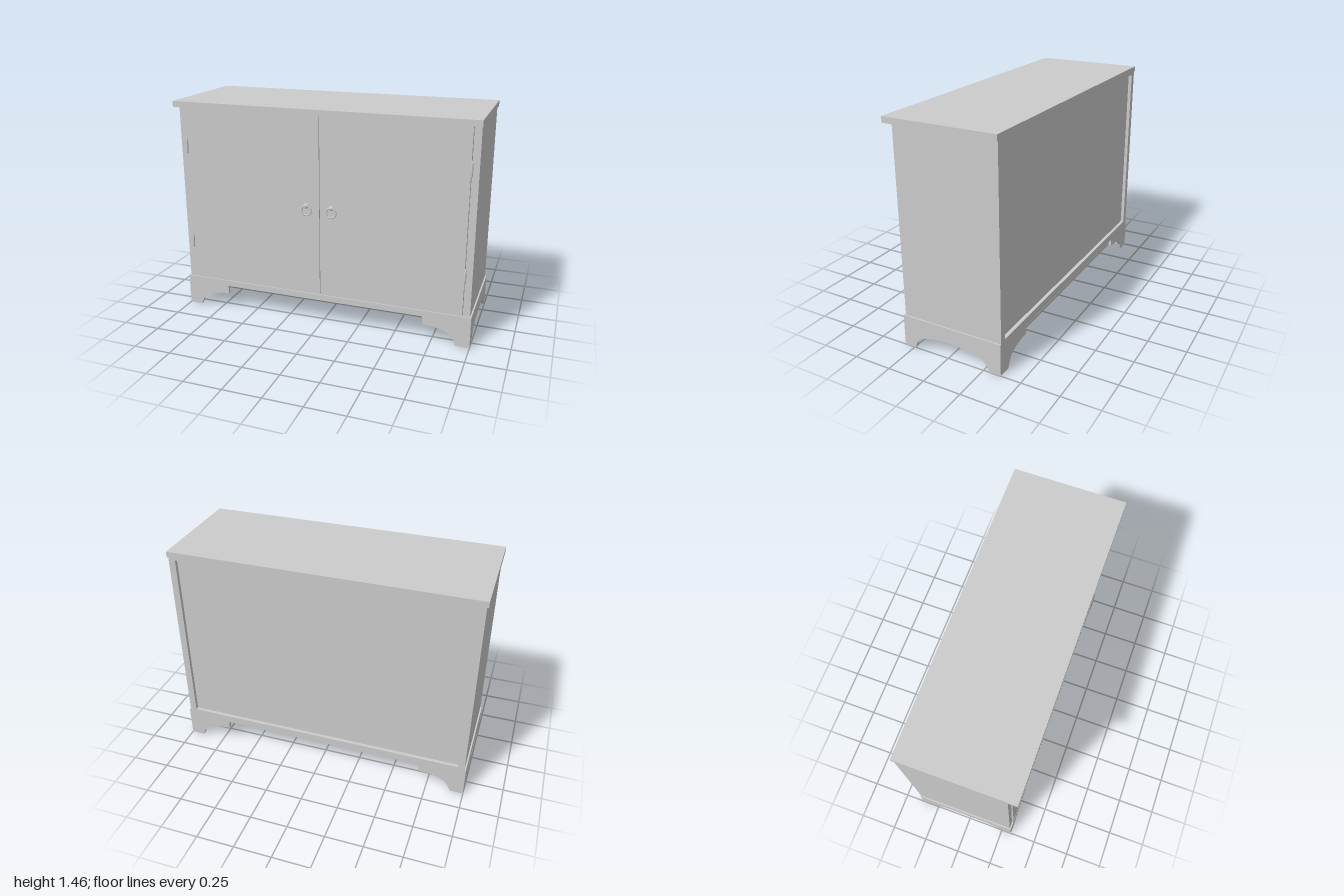
import * as THREE from 'three';

const material = new THREE.MeshStandardMaterial({ color: 0xcccccc });

export function createModel() {
  const model = new THREE.Group();

  function add(name, geometry, x = 0, y = 0, z = 0) {
    const mesh = new THREE.Mesh(geometry, material);
    mesh.name = name;
    mesh.position.set(x, y, z);
    model.add(mesh);
    return mesh;
  }

  // Box given by its limits on each axis
  function box(name, x0, x1, y0, y1, z0, z1) {
    return add(name, new THREE.BoxGeometry(x1 - x0, y1 - y0, z1 - z0),
      (x0 + x1) / 2, (y0 + y1) / 2, (z0 + z1) / 2);
  }

  function plate(points, depth) {
    const shape = new THREE.Shape(points.map(([x, y]) => new THREE.Vector2(x, y)));
    return new THREE.ExtrudeGeometry(shape, { depth, bevelEnabled: false });
  }

  // Carcass
  box('topBoard', -1, 1, 1.422, 1.46, -0.37, 0.372);
  box('baseBoard', -1, 1, 0.17, 0.21, -0.368, 0.32);
  box('leftSide', 0.945, 0.99, 0.21, 1.422, -0.368, 0.31);
  box('rightSide', -0.99, -0.945, 0.21, 1.422, -0.368, 0.31);
  box('backPanel', -0.945, 0.945, 0.21, 1.422, -0.345, -0.33);
  box('backTopRail', -0.945, 0.945, 1.407, 1.422, -0.368, -0.345);
  box('backBottomRail', -0.945, 0.945, 0.21, 0.222, -0.368, -0.345);

  // Doors meeting just off centre
  box('leftDoor', -0.002, 0.942, 0.213, 1.418, 0.285, 0.318);
  box('rightDoor', -0.942, -0.006, 0.213, 1.418, 0.285, 0.318);

  // Curved corner brackets on front and back
  const bracket = [[1, 0], [1, 0.17], [0.69, 0.17], [0.69, 0.115], [0.76, 0.11],
    [0.82, 0.098], [0.865, 0.075], [0.893, 0.045], [0.91, 0]];
  for (const s of [1, -1]) {
    const points = bracket.map(([x, y]) => [x * s, y]);
    add('frontBracket', plate(points, 0.02), 0, 0, 0.3);
    add('backBracket', plate(points, 0.02), 0, 0, -0.368);
  }

  // Arched plinth on each end; profile drawn in z and y
  const half = [[0.265, 0], [0.253, 0.035], [0.225, 0.068], [0.185, 0.09], [0.14, 0.1], [0, 0.11]];
  const arch = [...half, ...half.slice(0, -1).reverse().map(([z, y]) => [-z, y])];
  const end = [[0.344, 0.21], [0.344, 0], ...arch, [-0.344, 0], [-0.344, 0.21]];
  for (const x of [0.98, -1]) {
    const plinth = add('endPlinth', plate(end, 0.02), x, 0, -0.024);
    plinth.rotation.y = Math.PI / 2;
  }

  // Hinge barrels with tapered tips
  const barrel = new THREE.LatheGeometry([[0, -0.055], [0.004, -0.048], [0.008, -0.034],
    [0.008, 0.034], [0.004, 0.048], [0, 0.055]].map(p => new THREE.Vector2(...p)), 16);
  for (const x of [-0.945, 0.945]) {
    for (const y of [0.482, 1.155]) add('hinge', barrel, x, y, 0.32);
  }

  // Ring pulls hanging from round studs
  for (const x of [-0.094, 0.076]) {
    add('pullRing', new THREE.TorusGeometry(0.032, 0.0055, 10, 40), x, 0.794, 0.323);
    const stud = add('pullStud', new THREE.SphereGeometry(0.017, 20, 14), x, 0.825, 0.319);
    stud.scale.z = 0.65;
  }

  return model;
}
